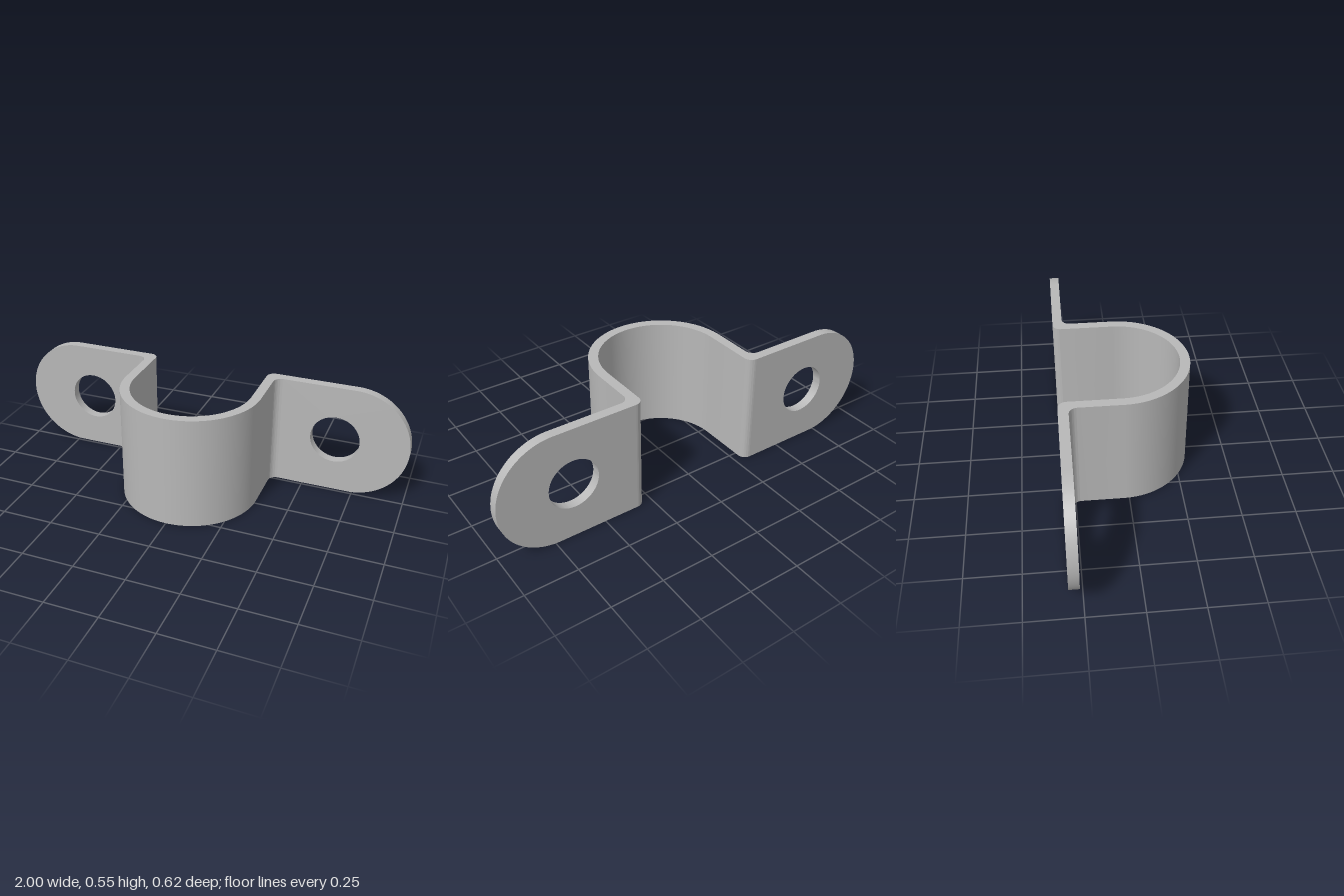
import * as THREE from 'three';
import { toCreasedNormals } from 'three/addons/utils/BufferGeometryUtils.js';

const H = 0.55;            // strap width (vertical)
const T = 0.046;           // sheet thickness
const BACK = 0.31;         // distance of the mounting face behind the centre
const R = 0.335;           // outer radius of the saddle
const BEND = 0.04;         // bend radius
const JOIN = R + BEND;     // x where the flat tabs begin

function extrude(shape, depth, curveSegments) {
  const geo = new THREE.ExtrudeGeometry(shape, { depth, curveSegments, bevelEnabled: false });
  return toCreasedNormals(geo, 0.6);
}

// U-shaped saddle, drawn in plan (x, -z) and raised along y
function saddleGeometry() {
  const PI = Math.PI, r = R - T, c = R - BACK, f = BACK - T;
  const s = new THREE.Shape();
  s.moveTo(JOIN, BACK);
  s.lineTo(r + BEND, BACK);
  s.absarc(r + BEND, BACK - BEND, BEND, PI / 2, PI, false);
  s.lineTo(r, c);
  s.absarc(0, c, r, 0, -PI, true);
  s.lineTo(-r, BACK - BEND);
  s.absarc(-r - BEND, BACK - BEND, BEND, 0, PI / 2, false);
  s.lineTo(-JOIN, BACK);
  s.lineTo(-JOIN, f);
  s.absarc(-JOIN, f - BEND, BEND, PI / 2, 0, true);
  s.lineTo(-R, c);
  s.absarc(0, c, R, PI, 2 * PI, false);
  s.lineTo(R, f - BEND);
  s.absarc(JOIN, f - BEND, BEND, PI, PI / 2, true);
  s.closePath();
  return extrude(s, H, 40).rotateX(-PI / 2);
}

// Flat tab with a rounded end and a screw hole
function tabGeometry() {
  const h = H / 2;
  const s = new THREE.Shape();
  s.moveTo(JOIN, -h);
  s.lineTo(1 - h, -h);
  s.absarc(1 - h, 0, h, -Math.PI / 2, Math.PI / 2, false);
  s.lineTo(JOIN, h);
  s.closePath();
  const hole = new THREE.Path();
  hole.absarc(0.643, 0, 0.12, 0, Math.PI * 2, true);
  s.holes.push(hole);
  return extrude(s, T, 40).translate(0, 0, -T / 2);
}

export function createModel() {
  const steel = new THREE.MeshStandardMaterial({ color: 0xb8b8b8 });
  steel.name = 'steel grey';
  const model = new THREE.Group();
  model.name = 'pipeClamp';

  const saddle = new THREE.Mesh(saddleGeometry(), steel);
  saddle.name = 'saddle';
  model.add(saddle);

  // One tab on each side, the right one turned about
  const tabGeo = tabGeometry();
  for (const [name, turn] of [['leftTab', 0], ['rightTab', Math.PI]]) {
    const tab = new THREE.Mesh(tabGeo, steel);
    tab.name = name;
    tab.rotation.y = turn;
    tab.position.set(0, H / 2, -BACK + T / 2);
    model.add(tab);
  }
  return model;
}
